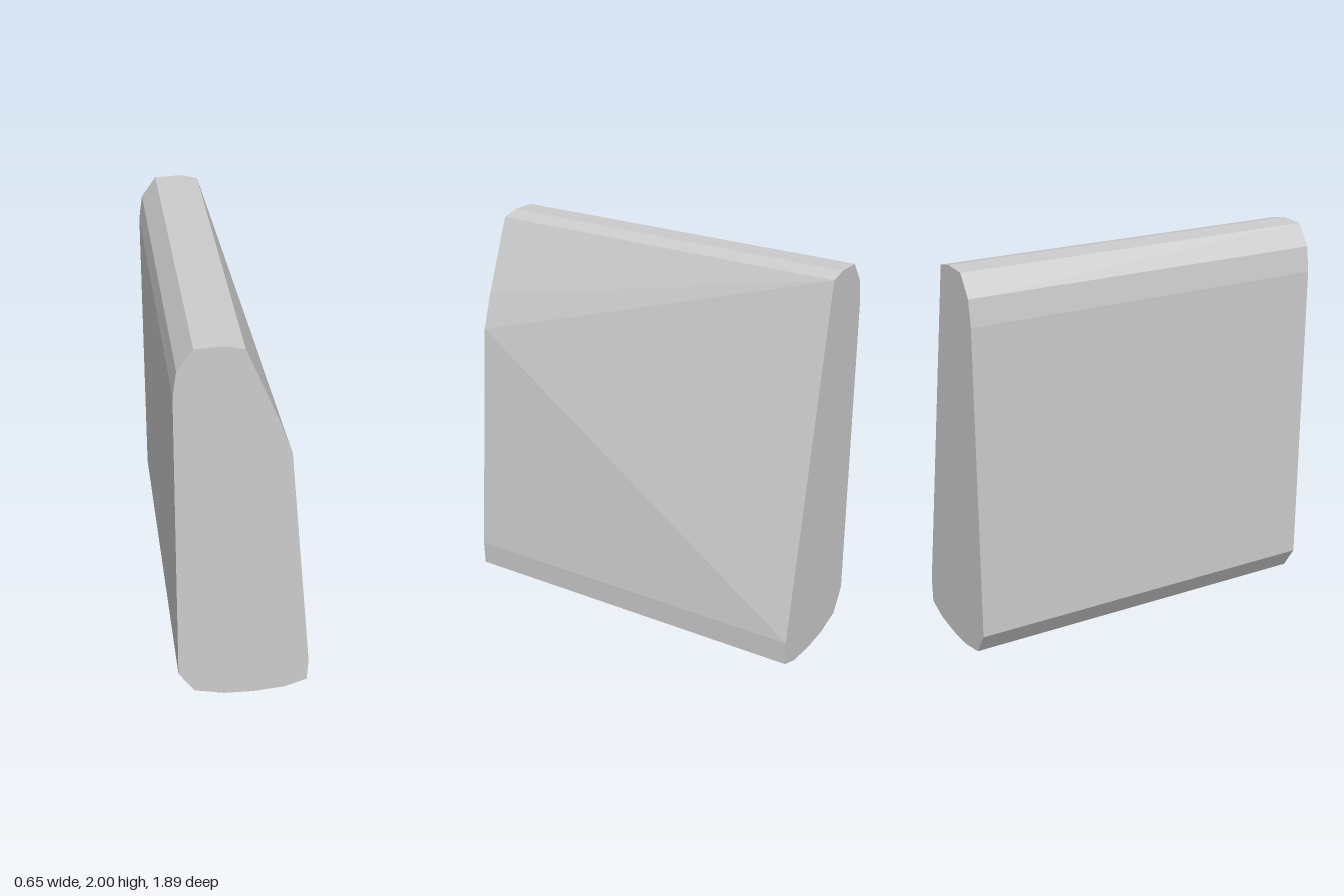
import * as THREE from 'three';
import { ConvexGeometry } from 'three/addons/geometries/ConvexGeometry.js';

const HALF_DEPTH = 0.945;

// Outline shared by both ends, from the upper right edge round to the lower right
const common = [
  [-0.01, 1.98], [-0.1, 2], [-0.235, 1.995], [-0.31, 1.89], [-0.328, 1.76],
  [-0.328, 0.16], [-0.25, 0.04], [-0.1, 0.005], [0.05, 0], [0.21, 0.014],
  [0.32, 0.052], [0.325, 0.18],
];
// Extra shoulder that bulges out the front end only
const shoulder = [[0.15, 1.6], [0.21, 1.425]];

const atDepth = (outline, z) => outline.map(([x, y]) => new THREE.Vector3(x, y, z));

export function createModel() {
  const group = new THREE.Group();
  group.name = 'wedgeBlock';

  const grey = new THREE.MeshStandardMaterial({ color: 0xcccccc, flatShading: true });
  grey.name = 'light grey';

  // Faceted convex body spanning the two different end outlines
  const body = new THREE.Mesh(
    new ConvexGeometry([
      ...atDepth([...common, ...shoulder], HALF_DEPTH),
      ...atDepth(common, -HALF_DEPTH),
    ]),
    grey,
  );
  body.name = 'body';
  group.add(body);
  return group;
}
